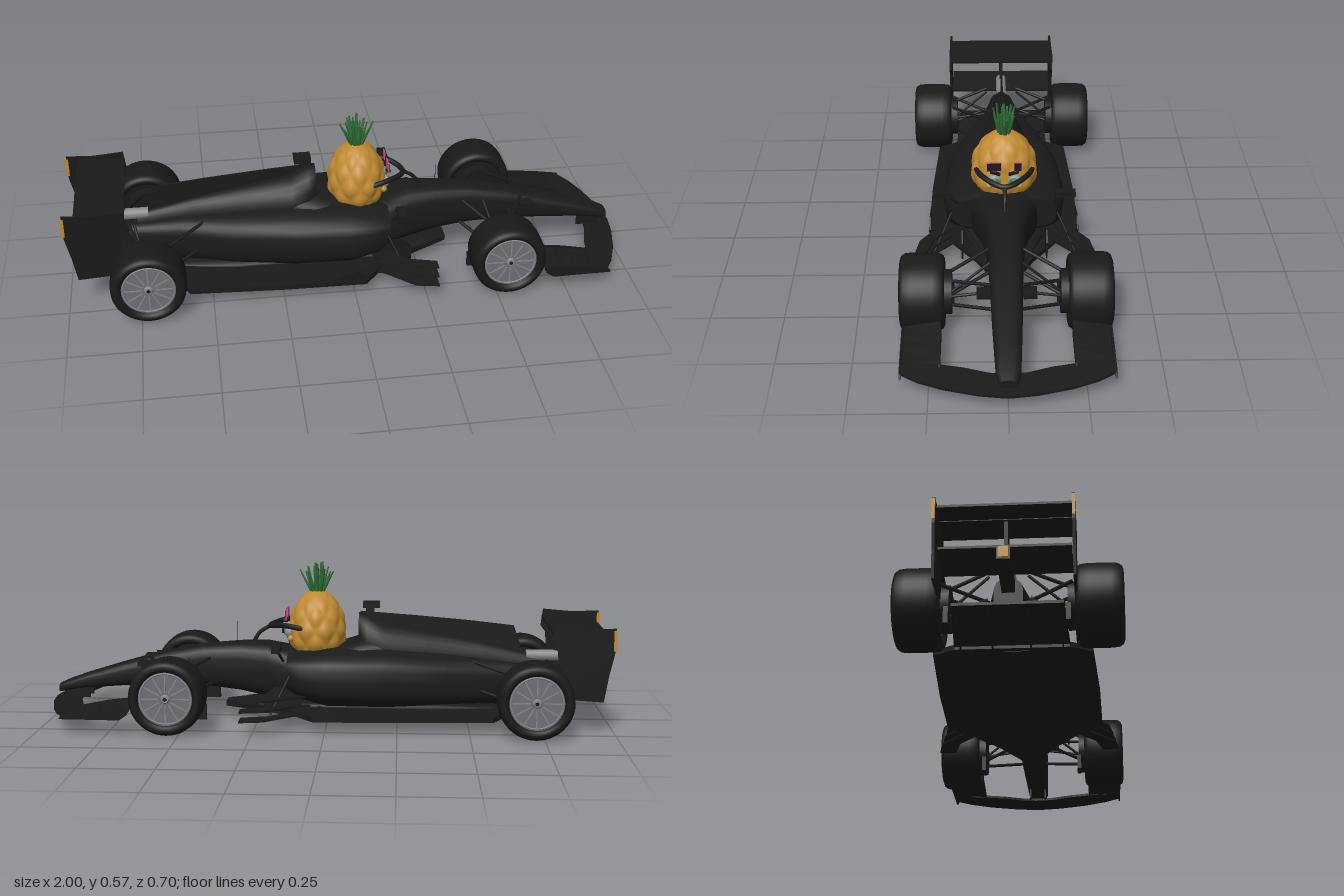
import * as THREE from 'three';
import { mergeVertices } from 'three/addons/utils/BufferGeometryUtils.js';

const mat = (name, color) => Object.assign(new THREE.MeshStandardMaterial({ color }), { name });

export function createModel() {
  const car = new THREE.Group();
  car.name = 'racingCar';
  const M = {
    body: mat('carbonBlack', 0x1a1a1a), tyre: mat('tyreBlack', 0x191919), rim: mat('rimGrey', 0x6e6f73),
    silver: mat('silver', 0x85868a), fruit: mat('pineappleGold', 0xc08a32), leaf: mat('leafGreen', 0x2f6f36),
    eye: mat('eyeGrey', 0x8f969c), iris: mat('irisGreen', 0x3f7a3c), pink: mat('framePink', 0xd8488a),
  };
  const add = (name, geo, m = M.body, pos = [0, 0, 0], parent = car) => {
    const mesh = new THREE.Mesh(geo, m);
    mesh.name = name;
    mesh.position.set(...pos);
    parent.add(mesh);
    return mesh;
  };
  const box = (name, size, pos, m, parent) => add(name, new THREE.BoxGeometry(...size), m, pos, parent);

  // Loft along x through superellipse sections [x, halfWidth, yBottom, yTop]
  const loft = (name, sections, power = 2.6, sides = 28) => {
    const pos = [], idx = [];
    const ring = ([x, hw, yb, yt]) => {
      for (let j = 0; j < sides; j++) {
        const t = (j / sides) * Math.PI * 2, c = Math.cos(t), s = Math.sin(t);
        const e = (v) => Math.sign(v) * Math.abs(v) ** (2 / power);
        pos.push(x, (yb + yt) / 2 + e(s) * (yt - yb) / 2, e(c) * hw);
      }
    };
    sections.forEach(ring);
    for (let i = 0; i < sections.length - 1; i++) for (let j = 0; j < sides; j++) {
      const a = i * sides + j, b = i * sides + (j + 1) % sides;
      idx.push(a, a + sides, b, b, a + sides, b + sides);
    }
    [sections[0], sections[sections.length - 1]].forEach((s, end) => {
      const base = pos.length / 3;
      ring(s);
      for (let j = 1; j < sides - 1; j++) idx.push(base, base + j + (end ? 1 : 0), base + j + (end ? 0 : 1));
    });
    const g = new THREE.BufferGeometry();
    g.setAttribute('position', new THREE.Float32BufferAttribute(pos, 3));
    g.setIndex(idx);
    g.computeVertexNormals();
    return add(name, g);
  };

  const polygon = (pts) => new THREE.Shape(pts.map(([a, b]) => new THREE.Vector2(a, b)));
  // Horizontal plate from [x, z] points; lift(x, z) gives its height
  const plate = (name, pts, lift, thick = 0.008) => {
    const g = new THREE.ExtrudeGeometry(polygon(pts), { depth: thick, bevelEnabled: false }).rotateX(Math.PI / 2);
    const p = g.attributes.position;
    for (let i = 0; i < p.count; i++) p.setY(i, p.getY(i) + lift(p.getX(i), Math.abs(p.getZ(i))));
    g.computeVertexNormals();
    return add(name, g);
  };
  const mirrored = (pts) => [...pts, ...pts.slice().reverse().map(([x, z]) => [x, -z])];
  // Upright plate from [x, y] points
  const fin = (name, pts, z, thick = 0.008) =>
    add(name, new THREE.ExtrudeGeometry(polygon(pts), { depth: thick, bevelEnabled: false }), M.body, [0, 0, z - thick / 2]);
  const tube = (name, pts, r, m) => add(name, new THREE.TubeGeometry(
    new THREE.CatmullRomCurve3(pts.map((p) => new THREE.Vector3(...p))), pts.length > 2 ? 32 : 1, r, 8), m);

  // Bodywork
  loft('noseAndCockpit', [[-0.22, .1, .1, .31], [-0.12, .13, .07, .3], [-0.02, .135, .07, .268], [.14, .118, .07, .262], [.22, .09, .08, .278],
    [.32, .072, .1, .277], [.45, .06, .115, .266], [.6, .054, .118, .238], [.75, .049, .11, .195], [.88, .043, .1, .155],
    [.95, .039, .09, .13], [.985, .028, .084, .114]], 3);
  loft('sidepods', [[-0.78, .045, .09, .2], [-0.6, .08, .06, .225], [-0.42, .15, .055, .25], [-0.2, .205, .055, .272],
    [0, .22, .06, .272], [.09, .21, .085, .262], [.14, .185, .12, .25]], 3);
  loft('engineCover', [[-0.75, .025, .14, .235], [-0.55, .045, .14, .285], [-0.35, .075, .14, .325], [-0.2, .1, .14, .355],
    [-0.14, .09, .14, .385], [-0.11, .06, .2, .385]], 2);
  fin('sharkFin', [[-0.115, .39], [-0.3, .377], [-0.5, .36], [-0.665, .342], [-0.69, .27], [-0.6, .2], [-0.2, .25]], 0);
  box('cameraStalk', [.03, .04, .015], [-0.15, .4, 0]);
  box('cameraPod', [.06, .02, .05], [-0.155, .415, 0]);
  tube('antenna', [[.33, .27, 0], [.33, .35, 0]], .001);

  // Floor, keel and diffuser
  plate('floor', mirrored([[.37, .03], [.24, .1], [.1, .2], [.04, .275], [-0.25, .27], [-0.58, .252], [-0.62, .18]]), () => .06, .018);
  loft('keel', [[-0.6, .1, .04, .07], [-0.4, .14, .035, .09], [.1, .14, .035, .09], [.3, .06, .036, .07], [.37, .03, .038, .055]], 2.4);
  plate('diffuser', mirrored([[-0.56, .185], [-0.82, .17]]), (x) => .05 + (-0.56 - x) * .2, .01);
  for (const z of [-0.16, -0.06, .06, .16]) fin('diffuserFence', [[-0.58, .05], [-0.81, .095], [-0.78, .06], [-0.62, .04]], z, .005);

  // Halo
  tube('haloRing', [[.03, .318, .09], [.08, .336, .099], [.15, .347, .08], [.2, .339, .03], [.21, .335, 0], [.2, .339, -.03], [.15, .347, -.08],
    [.08, .336, -.099], [.03, .318, -.09]], .0095);
  tube('haloPillar', [[.21, .335, 0], [.25, .308, 0], [.275, .265, 0]], .007);

  for (const s of [1, -1]) {
    // Mirrors
    box('mirror', [.03, .019, .07], [.17, .286, s * .214]);
    tube('mirrorStay', [[.17, .28, s * .2], [.15, .235, s * .165]], .005);
    // Bargeboards
    for (let k = 0; k < 3; k++) plate('bargeboardBlade', [[.03 + k * .02, .2], [.11, .23], [.21, .32 - k * .01], [.29, .335 - k * .01],
      [.29, .275], [.2, .25], [.13, .185]].map(([x, z]) => [x, z * s]), () => .056 + k * .031, .006);
    fin('bargeboardVane', [[.08, .05], [.22, .045], [.22, .11], [.18, .14], [.1, .13]], s * .15, .006);
    tube('bargeboardStay', [[.12, .2, s * .18], [.19, .06, s * .25]], .004);
    fin('floorEdgeFence', [[.05, .06], [.02, .1], [-0.1, .065]], s * .27, .005);

    // Front wing flaps and endplates, rising toward the nose
    for (let k = 0; k < 4; k++) {
      const x = .9 - k * .055;
      plate('frontFlap', [[x, .215], [x - .01, .335], [x - .065, .335], [x - .06, .215]].map(([a, z]) => [a, z * s]),
        (a, z) => .066 + k * .004 + (x - a) * .12 + (k * .006 + (x - a) * .1) * (.335 - z) / .12, .006);
    }
    fin('frontWingEndplate', [[.91, .058], [.9, .074], [.8, .09], [.69, .1], [.672, .075], [.7, .056]], s * .337, .007);
    fin('frontFlapRib', [[.9, .06], [.86, .08], [.76, .1], [.69, .108], [.69, .07]], s * .215, .006);
    box('noseStrut', [.08, .04, .006], [.91, .088, s * .03]);

    // Rear wing endplates with lights
    fin('rearWingEndplate', [[-0.995, .367], [-0.9, .363], [-0.79, .372], [-0.782, .31], [-0.8, .285], [-0.81, .12],
      [-0.96, .11], [-0.975, .2], [-0.993, .28]], s * .207, .009);
    box('rearLight', [.012, .07, .0096], [-0.994, .325, s * .207], M.fruit);
    tube('beamWingStay', [[-0.85, .15, s * .2], [-0.75, .13, s * .05]], .006);

    // Suspension, front then rear
    for (const [x, lead, trail, inner] of [[.54, .42, .64, .05], [-0.72, -0.5, -0.78, .06]]) {
      for (const [outY, inY] of [[.18, .225], [.085, .13]]) for (const end of [lead, trail])
        tube('wishbone', [[x, outY, s * .23], [end, inY, s * inner]], .006);
      tube('pushRod', [[x, .095, s * .22], [x - .04, .22, s * inner]], .005);
      tube('trackRod', [[x + .05, .14, s * .23], [x + .06, .17, s * inner]], .005);
      add('brakeDrum', new THREE.CylinderGeometry(.075, .075, .05, 28).rotateX(Math.PI / 2), M.body, [x, .131, s * .205]);
      box('brakeDuct', [.06, .055, .015], [x - .09, .055, s * .183]);
    }
    box('noseCamera', [.05, .016, .045], [.655, .205, s * .075]);
  }

  // Front wing main element
  plate('frontWing', mirrored([[1, .01], [.99, .09], [.962, .2], [.93, .28], [.895, .335], [.84, .335], [.855, .215], [.87, .14], [.895, .06], [.9, .01]]),
    (x) => .066 + (1 - x) * .07, .009);

  // Rear wing planes
  plate('rearWingMain', mirrored([[-0.785, .205], [-0.89, .205]]), (x) => .348 + (-0.785 - x) * .05, .01);
  plate('rearWingFlap', mirrored([[-0.88, .205], [-0.955, .205]]), (x) => .352 + (-0.88 - x) * .14, .008);
  plate('beamWing', mirrored([[-0.82, .2], [-0.93, .2]]), (x) => .2 + (-0.82 - x) * .3, .008);
  fin('rearWingPylon', [[-0.8, .2], [-0.82, .345], [-0.88, .347], [-0.87, .2]], 0, .012);
  box('rearCrashStructure', [.24, .045, .04], [-0.87, .175, 0]);
  box('rainLight', [.006, .035, .03], [-0.992, .175, 0], M.fruit);
  add('exhaust', new THREE.CylinderGeometry(.02, .02, .14, 20).rotateZ(Math.PI / 2), M.silver, [-0.78, .235, 0]);

  // Wheels
  const half = [[.093, .06], [.099, .07], [.109, .074], [.12, .07], [.128, .058], [.1305, .035]];
  const profile = [...half.map(([r, y]) => [r, -y]), ...half.slice().reverse()].map(([r, y]) => new THREE.Vector2(r, y));
  const tyreGeo = new THREE.LatheGeometry(profile, 48).rotateX(Math.PI / 2);
  for (const x of [.54, -0.72]) for (const s of [1, -1]) {
    const wheel = new THREE.Group();
    wheel.name = x > 0 ? 'frontWheel' : 'rearWheel';
    wheel.position.set(x, .131, s * .277);
    if (s < 0) wheel.rotation.y = Math.PI;
    car.add(wheel);
    add('tyre', tyreGeo, M.tyre, [0, 0, 0], wheel);
    add('rimDisc', new THREE.CylinderGeometry(.094, .094, .06, 40).rotateX(Math.PI / 2), M.rim, [0, 0, .028], wheel);
    add('innerDisc', new THREE.CylinderGeometry(.094, .094, .05, 40).rotateX(Math.PI / 2), M.body, [0, 0, -.033], wheel);
    add('rimEdge', new THREE.TorusGeometry(.088, .003, 8, 40), M.silver, [0, 0, .058], wheel);
    for (let k = 0; k < 12; k++) {
      const a = (k / 12) * Math.PI * 2;
      box('spoke', [.06, .004, .005], [Math.cos(a) * .053, Math.sin(a) * .053, .058], M.silver, wheel).rotation.z = a;
    }
    add('hub', new THREE.CylinderGeometry(.012, .018, .012, 20).rotateX(Math.PI / 2), M.silver, [0, 0, .06], wheel);
    add('wheelNut', new THREE.CylinderGeometry(.007, .007, .004, 6).rotateX(Math.PI / 2), M.tyre, [0, 0, .066], wheel);
  }

  // Pineapple driver
  const driver = new THREE.Group();
  driver.name = 'pineappleDriver';
  car.add(driver);
  let skin = new THREE.SphereGeometry(1, 100, 70);
  skin.deleteAttribute('uv');
  skin.deleteAttribute('normal');
  skin = mergeVertices(skin, 1e-4);
  const p = skin.attributes.position;
  for (let i = 0; i < p.count; i++) {
    const [x, y, z] = [p.getX(i), p.getY(i), p.getZ(i)];
    const u = Math.atan2(z, x), v = Math.acos(THREE.MathUtils.clamp(y, -1, 1));
    const bump = .98 + .085 * Math.abs(Math.sin(4 * u + 4 * v) * Math.sin(4 * u - 4 * v)) * Math.sin(v);
    const w = bump * (1 - .09 * y);
    p.setXYZ(i, .04 + x * .101 * w, .33 + y * .137 * (.97 + .03 * bump), z * .115 * w);
  }
  skin.computeVertexNormals();
  add('pineapple', skin, M.fruit, [0, 0, 0], driver);

  const ball = (name, m, r, pos, flat = 1) => {
    const b = add(name, new THREE.SphereGeometry(r, 24, 16), m, pos, driver);
    b.scale.x = flat;
  };
  for (const s of [1, -1]) {
    ball('eye', M.eye, .024, [.137, .32, s * .036], .8);
    ball('iris', M.iris, .016, [.152, .321, s * .033], .45);
    ball('pupil', M.tyre, .007, [.158, .321, s * .032], .4);
    ball('cheek', M.fruit, .012, [.132, .297, s * .054]);
    box('eyebrow', [.014, .007, .036], [.152, .358, s * .032], M.tyre, driver).rotation.x = -s * .3;
  }
  // Framed dark lenses on the forehead
  for (const [z, w] of [[.036, .052], [-0.047, .028]]) {
    box('lensFrame', [.004, .033, w], [.149, .381, z], M.pink, driver);
    box('lens', [.004, .029, w - .004], [.151, .381, z], M.body, driver);
  }
  // Leaf crown in three rings
  [[4, .006, .096, .06], [7, .014, .098, .26], [9, .018, .082, .48]].forEach(([n, r, h, lean], ring) => {
    for (let k = 0; k < n; k++) {
      const a = ((k + ring * .4) / n) * Math.PI * 2;
      const height = h + (k % 3) * .007;
      const g = new THREE.CylinderGeometry(.0035, .0085, height, 6).translate(0, height / 2, 0).scale(.7, 1, 1);
      const leaf = add('crownLeaf', g, M.leaf, [.04 + Math.cos(a) * r, .455, Math.sin(a) * r], driver);
      leaf.rotation.set(0, -a, -lean * (.42 + .6 * Math.cos(a) ** 2), 'YXZ');
    }
  });
  return car;
}
